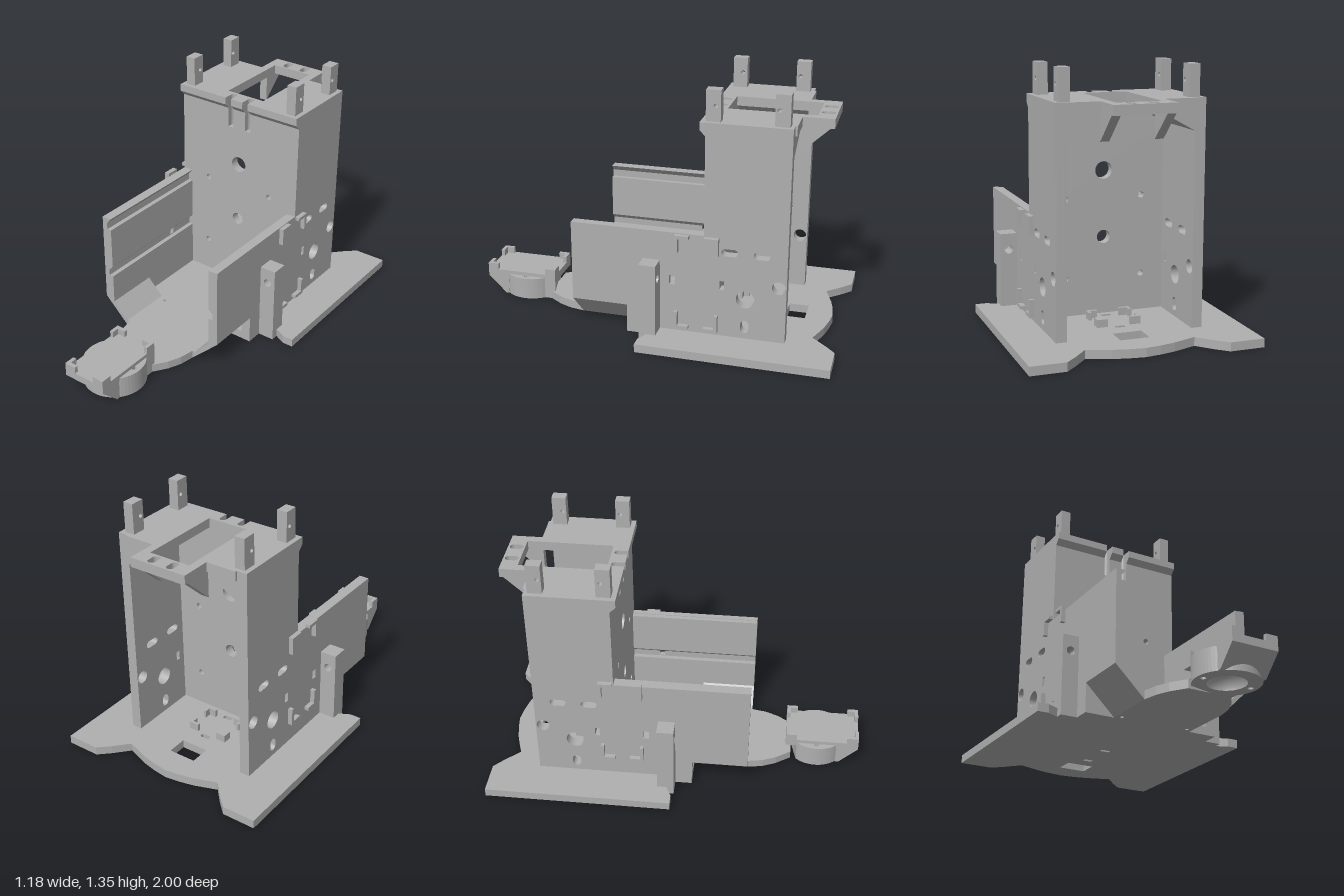
import * as THREE from 'three';

const grey = new THREE.MeshStandardMaterial({ color: 0xb0b0b0 });
grey.name = 'grey plastic';

const poly = (pts, holes = []) => {
  const s = new THREE.Shape(pts.map(([a, b]) => new THREE.Vector2(a, b)));
  s.holes.push(...holes);
  return s;
};
const rect = (x0, y0, x1, y1) => [[x0, y0], [x1, y0], [x1, y1], [x0, y1]];
const rectHole = (x0, y0, x1, y1) => poly(rect(x0, y0, x1, y1));
const round = (x, y, r) => new THREE.Path().absarc(x, y, r, 0, Math.PI * 2, false);
// rounded slot of total width w and height h
const slot = (x, y, w, h) => {
  const p = new THREE.Path(), r = Math.min(w, h) / 2, d = Math.max(w, h) / 2 - r;
  if (w > h) {
    p.absarc(x + d, y, r, -Math.PI / 2, Math.PI / 2, false);
    p.absarc(x - d, y, r, Math.PI / 2, Math.PI * 1.5, false);
  } else {
    p.absarc(x, y + d, r, 0, Math.PI, false);
    p.absarc(x, y - d, r, Math.PI, Math.PI * 2, false);
  }
  return p;
};

export function createModel() {
  const root = new THREE.Group();
  const add = (name, geo) => {
    const m = new THREE.Mesh(geo, grey);
    m.name = name;
    root.add(m);
  };
  const ext = (shape, depth) =>
    new THREE.ExtrudeGeometry(shape, { depth, bevelEnabled: false, curveSegments: 20 });
  // extrusions along each axis; profiles are (-z, y), (x, -z) and (x, y)
  const extX = (n, s, a, b) => add(n, ext(s, b - a).rotateY(Math.PI / 2).translate(a, 0, 0));
  const extY = (n, s, a, b) => add(n, ext(s, b - a).rotateX(-Math.PI / 2).translate(0, a, 0));
  const extZ = (n, s, a, b) => add(n, ext(s, b - a).translate(0, 0, a));
  const box = (n, x0, x1, y0, y1, z0, z1) => add(n, new THREE.BoxGeometry(
    Math.abs(x1 - x0), y1 - y0, z1 - z0).translate((x0 + x1) / 2, (y0 + y1) / 2, (z0 + z1) / 2));

  // base plate: winged rear, narrow neck to the front
  const half = [[0, 0.94], [0.08, 0.93], [0.16, 0.912], [0.28, 0.87], [0.35, 0.945], [0.41, 1], [0.59, 1],
    [0.59, 0], [0.53, 0], [0.47, 0.03], [0.38, 0.03], [0.38, -0.1], [0.22, -0.1], [0.22, -0.4],
    [0.205, -0.48], [0.175, -0.55], [0.12, -0.63]];
  const other = half.slice(1).reverse().map(([x, v]) => [-x, v]);
  extY('basePlate', poly([...half, ...other], [
    rectHole(-0.075, 0.695, 0.075, 0.8),
    rectHole(-0.025, 0.59, 0.025, 0.615),
    rectHole(-0.025, 0.39, 0.025, 0.415),
    round(0.19, -0.125, 0.01), round(-0.19, -0.125, 0.01),
  ]), 0, 0.045);

  // corner guides on the floor inside the tower
  for (const s of [1, -1]) for (const [z, d] of [[-0.58, 1], [-0.425, -1]]) {
    box('floorGuide', s * 0.06, s * 0.115, 0.045, 0.085, z - 0.008, z + 0.008);
    const e = z + d * 0.04;
    box('floorGuide', s * 0.1, s * 0.115, 0.045, 0.085, Math.min(z, e), Math.max(z, e));
  }

  // holes through the side walls
  const wallHoles = () => [slot(0.445, 0.515, 0.085, 0.04), slot(0.61, 0.515, 0.085, 0.04),
    round(0.53, 0.265, 0.048), round(0.7, 0.35, 0.035), slot(0.53, 0.11, 0.045, 0.07),
    rectHole(0.395, 0.305, 0.42, 0.355)];

  for (const s of [1, -1]) {
    const top = s > 0 ? 0.595 : 0.66;
    const span = (a, b) => (s > 0 ? [a, b] : [-b, -a]);
    const mir = pts => poly(pts.map(([x, y]) => [s * x, y]));

    // outer skin of the wall, tower part raised
    extX('sideWall', poly([[-0.1, 0.045], [0.74, 0.045], [0.74, 1.19], [0.31, 1.19], [0.31, top],
      [-0.4, top], [-0.4, 0.155], [-0.1, 0.155]],
    [...wallHoles(), rectHole(0.13, 0.305, 0.16, 0.355)]), ...span(0.35, 0.38));
    extX('towerWallLining', poly(rect(0.31, 0.045, 0.74, 1.19), wallHoles()), ...span(0.325, 0.35));

    // inner rails leave grooves along the wall
    extZ('lowerRail', mir(rect(0.325, 0.13, 0.35, 0.3)), -0.31, 0.4);
    box('railFoot', s * 0.325, s * 0.35, 0.045, 0.13, -0.31, 0.1);
    extZ('middleRail', mir([[0.35, 0.335], [0.325, 0.36], [0.325, 0.592], [0.35, 0.592]]), -0.31, 0.4);
    if (s < 0) extZ('topRail', mir([[0.35, 0.63], [0.325, 0.66], [0.35, 0.66]]), -0.31, 0.4);

    // slanted lower wall beside the neck
    extZ('slantedWall', mir([[0.2, 0], [0.22, 0], [0.38, 0.155], [0.325, 0.155], [0.325, 0.135],
      [0.235, 0.045], [0.2, 0.045]]), 0.1, 0.4);

    // corner clips on the outside
    const up = s > 0 ? 0 : 0.09;
    for (const [u, du] of [[0.16, 1], [0.39, -1]]) for (const [y, dy] of [[0.065 + up, 1], [0.59 + up, -1]]) {
      extX('cornerClip', poly([[u, y], [u + du * 0.075, y], [u + du * 0.075, y + dy * 0.018],
        [u + du * 0.018, y + dy * 0.018], [u + du * 0.018, y + dy * 0.095], [u, y + dy * 0.095]]),
      ...span(0.378, 0.405));
    }

    // standing post with a hole
    extZ('sidePost', poly(rect(s * 0.38, 0, s * 0.47, 0.435), [round(s * 0.425, 0.35, 0.023)]), -0.08, 0.01);

    // pegs on the tower top
    for (const [u, h] of [[0.305, 0.355], [0.645, 0.665]])
      extX('topPeg', poly(rect(u, 1.19, u + 0.075, 1.35), [round(h, 1.27, 0.011)]), ...span(0.3, 0.355));

    // sloped ceiling and rear gussets
    extZ('ceilingSlope', mir([[0.325, 1.03], [0.325, 1.145], [0.115, 1.145]]), -0.74, -0.36);
    extX('rearGusset', poly([[0.74, 1], [0.9, 1.15], [0.74, 1.15]]), ...span(0.115, 0.16));
  }

  // tower front panel with screw holes
  const holes = [round(0, 0.795, 0.045), round(0, 0.45, 0.035)];
  for (const x of [-0.205, 0.205]) for (const y of [0.24, 0.655]) holes.push(round(x, y, 0.016));
  extZ('frontPanel', poly(rect(-0.325, 0.045, 0.325, 1.01), holes), -0.36, -0.31);

  // upper strip of the panel with two rounded channels
  const strip = new THREE.Shape();
  strip.moveTo(0.325, 0.31);
  strip.lineTo(0.325, 0.36);
  strip.lineTo(-0.325, 0.36);
  strip.lineTo(-0.325, 0.31);
  for (const x of [-0.055, 0.055]) {
    strip.lineTo(x - 0.0175, 0.31);
    strip.absarc(x, 0.332, 0.0175, Math.PI, 0, true);
    strip.lineTo(x + 0.0175, 0.31);
  }
  extY('frontPanelTop', strip, 1.01, 1.19);

  // overhanging lip, interrupted by the channels
  for (const [a, b] of [[-0.38, -0.0725], [-0.0375, 0.0375], [0.0725, 0.38]])
    extX('frontLip', poly([[0.31, 1.12], [0.28, 1.15], [0.28, 1.19], [0.31, 1.19]]), a, b);

  // tower top with large opening and rear bracket
  extY('towerTop', poly([[-0.325, 0.36], [0.325, 0.36], [0.325, 0.75], [0.16, 0.75], [0.16, 0.91],
    [-0.16, 0.91], [-0.16, 0.75], [-0.325, 0.75]],
  [rectHole(-0.115, 0.365, 0.115, 0.82), slot(-0.055, 0.865, 0.04, 0.07), slot(0.055, 0.865, 0.04, 0.07)]),
  1.14, 1.19);

  // front caster housing: round body with bore, wedge nose, plate
  const r = 0.165, a = Math.acos(0.125 / r);
  const body = new THREE.Shape();
  body.moveTo(-0.125, -0.6);
  body.absarc(0, -0.77, r, Math.PI - a, Math.PI * 2 + a, false);
  body.lineTo(0.125, -0.6);
  body.holes.push(round(0, -0.77, 0.095), round(0.13, -0.77, 0.014), round(-0.13, -0.77, 0.014));
  extY('casterBody', body, 0, 0.12);
  extX('casterNose', poly([[-0.88, 0], [-0.9, 0], [-1, 0.1], [-0.88, 0.1]]), -0.125, 0.125);
  box('casterPlate', -0.125, 0.125, 0.1, 0.14, 0.6, 1);
  const dome = new THREE.Mesh(new THREE.SphereGeometry(0.095, 28, 10, 0, Math.PI * 2, 0, Math.PI / 2),
    grey.clone());
  dome.material = grey;
  dome.geometry.index.array.reverse();
  dome.geometry.attributes.normal.array.forEach((v, i, n) => { n[i] = -v; });
  dome.position.z = 0.77;
  dome.name = 'casterSocket';
  root.add(dome);

  // corner tabs on the caster plate
  for (const s of [1, -1]) for (const [z0, z1, e0, e1] of [[0.6, 0.62, 0.6, 0.66], [0.98, 1, 0.94, 1]]) {
    box('casterTab', s * 0.06, s * 0.125, 0.14, 0.175, z0, z1);
    box('casterTab', s * 0.105, s * 0.125, 0.14, 0.175, e0, e1);
  }
  return root;
}
